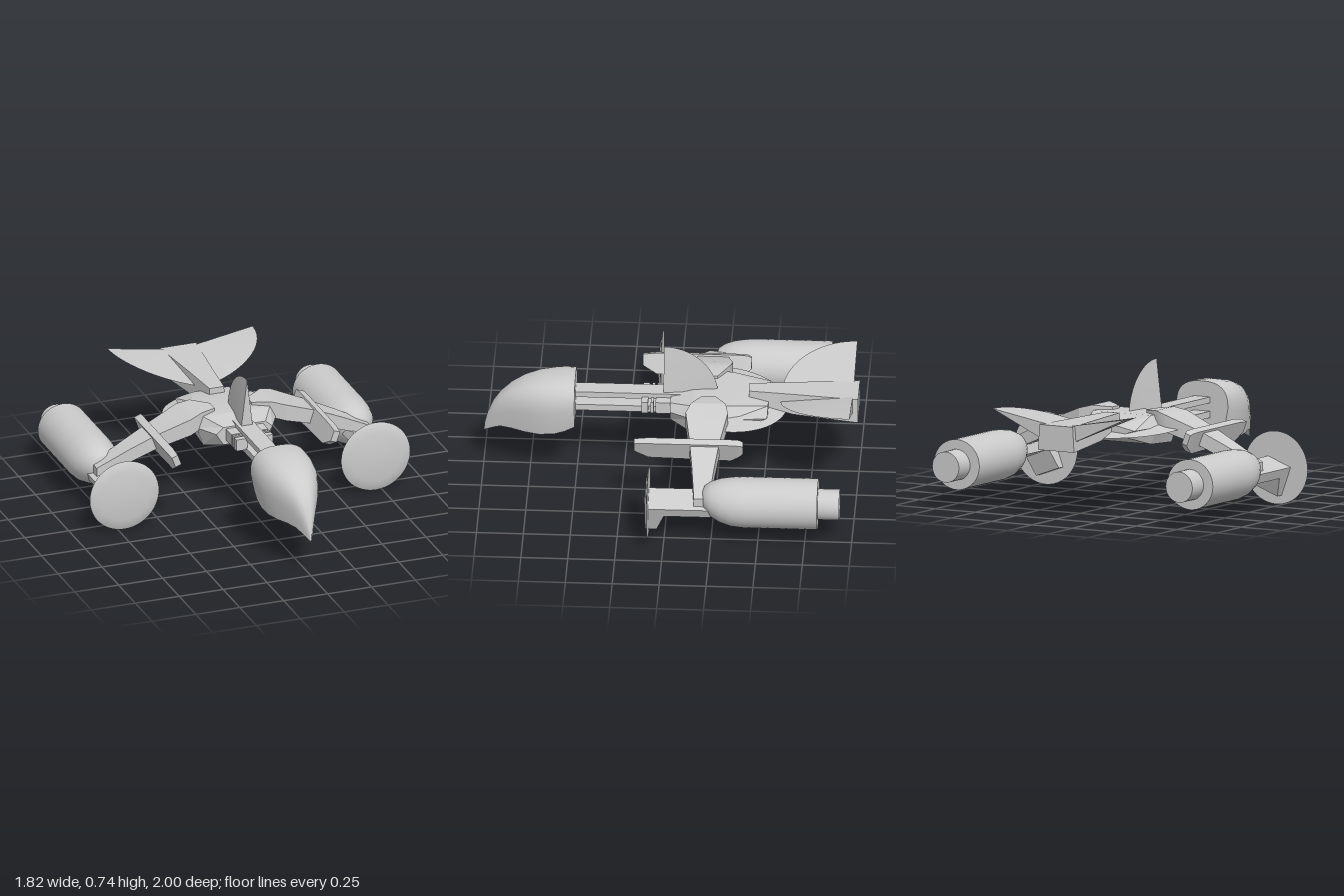
import * as THREE from 'three';
import { toCreasedNormals } from 'three/addons/utils/BufferGeometryUtils.js';

const material = new THREE.MeshStandardMaterial({ color: 0xcccccc });

// Turns a closed surface outward and keeps its hard edges
function finish(geometry, crease = 0.5) {
  const g = geometry.index ? geometry.toNonIndexed() : geometry;
  const p = g.attributes.position;
  const v = [0, 1, 2].map(() => new THREE.Vector3());
  let volume = 0;
  for (let i = 0; i < p.count; i += 3) {
    v.forEach((u, k) => u.fromBufferAttribute(p, i + k));
    volume += v[0].dot(v[1].clone().cross(v[2]));
  }
  if (volume < 0) {
    for (let i = 0; i < p.count; i += 3) {
      v.forEach((u, k) => u.fromBufferAttribute(p, i + k));
      p.setXYZ(i + 1, v[2].x, v[2].y, v[2].z);
      p.setXYZ(i + 2, v[1].x, v[1].y, v[1].z);
    }
  }
  return toCreasedNormals(g, crease);
}

// Skins a list of cross-sections and caps both ends
function loft(rings, crease) {
  const out = [];
  const a = new THREE.Vector3(), b = new THREE.Vector3(), c = new THREE.Vector3();
  const tri = (p, q, r) => {
    a.fromArray(p); b.fromArray(q); c.fromArray(r);
    if (b.clone().sub(a).cross(c.clone().sub(a)).length() > 1e-9) out.push(...p, ...q, ...r);
  };
  const n = rings[0].length, last = rings[rings.length - 1];
  for (let i = 0; i < rings.length - 1; i++) {
    for (let j = 0; j < n; j++) {
      const k = (j + 1) % n, r = rings[i], s = rings[i + 1];
      tri(r[j], r[k], s[k]);
      tri(r[j], s[k], s[j]);
    }
  }
  for (let j = 1; j < n - 1; j++) {
    tri(rings[0][0], rings[0][j + 1], rings[0][j]);
    tri(last[0], last[j], last[j + 1]);
  }
  const g = new THREE.BufferGeometry();
  g.setAttribute('position', new THREE.Float32BufferAttribute(out, 3));
  return finish(g, crease);
}

// Sector of a disc in the xz plane, thick at its centre and sharp at its rim
function bladeSector(radius, thick, from, to, steps = 20) {
  const rings = [];
  for (let i = 0; i <= steps; i++) {
    const t = from + (to - from) * i / steps;
    rings.push([[0, thick, 0], [radius * Math.cos(t), 0, radius * Math.sin(t)], [0, -thick, 0]]);
  }
  return loft(rings);
}

function box(x0, x1, y0, y1, z0, z1) {
  return new THREE.BoxGeometry(x1 - x0, y1 - y0, z1 - z0)
    .translate((x0 + x1) / 2, (y0 + y1) / 2, (z0 + z1) / 2);
}

export function createModel() {
  const model = new THREE.Group();
  const add = (name, geometry) => {
    const mesh = new THREE.Mesh(geometry, material);
    mesh.name = name;
    model.add(mesh);
  };
  const addPair = (name, geometry) => {
    add(name + 'Left', geometry);
    add(name + 'Right', finish(geometry.clone().scale(-1, 1, 1)));
  };

  // Drooping nose: domed top over a flat belly [z, half width, bottom, top]
  const nose = [
    [0.51, 0.160, 0.31, 0.56], [0.56, 0.164, 0.285, 0.562], [0.62, 0.163, 0.265, 0.56],
    [0.7, 0.153, 0.256, 0.548], [0.78, 0.125, 0.256, 0.524], [0.85, 0.093, 0.26, 0.486],
    [0.91, 0.061, 0.255, 0.435], [0.95, 0.038, 0.235, 0.38], [0.98, 0.018, 0.215, 0.31],
    [0.995, 0.006, 0.204, 0.25], [1, 0, 0.2, 0.2],
  ].map(([z, w, yb, yt]) => {
    const ym = yb + (yt - yb) * 0.45, ring = [[-0.86 * w, yb, z], [0.86 * w, yb, z]];
    for (let i = 0; i <= 16; i++) {
      const t = Math.PI * i / 16, cx = Math.cos(t);
      ring.push([w * Math.sign(cx) * Math.abs(cx) ** 0.75, ym + (yt - ym) * Math.sin(t) ** 0.75, z]);
    }
    return ring;
  });
  add('nose', loft(nose, 0.7));

  // Twin booms and their collars
  add('upperBoom', box(-0.05, 0.05, 0.445, 0.477, -0.1, 0.52));
  add('lowerBoom', box(-0.05, 0.05, 0.365, 0.4, -0.1, 0.52));
  for (const [z0, z1] of [[-0.07, 0.08], [0.09, 0.105], [0.12, 0.155]]) {
    addPair('collar', box(0.04, 0.105, 0.39, 0.455, z0, z1));
  }

  // Faceted hull [z, belly half width, side half width, bottom, side height, top]
  const hull = [
    [0.0, 0.12, 0.16, 0.365, 0.43, 0.465], [-0.12, 0.19, 0.225, 0.325, 0.43, 0.49],
    [-0.32, 0.18, 0.225, 0.335, 0.43, 0.49], [-0.52, 0.1, 0.2, 0.4, 0.43, 0.45],
  ].map(([z, wb, ws, yb, ys, yt]) => [
    [-wb, yb, z], [wb, yb, z], [ws, ys, z], [wb, yt, z], [-wb, yt, z], [-ws, ys, z]]);
  add('hull', loft(hull, 0.2));

  // Rounded rear deck
  add('rearDeck', bladeSector(0.34, 0.05, Math.PI, 2 * Math.PI, 32)
    .rotateX(-0.09).translate(0, 0.425, -0.28));

  // Upright fin
  add('uprightFin', bladeSector(0.29, 0.035, Math.PI, 1.5 * Math.PI)
    .rotateZ(-Math.PI / 2).translate(0, 0.45, 0.04));

  // Wedge tail and its two raised fins
  const tail = [[-0.415, 0.045, 0.44, 0.505], [-0.65, 0.07, 0.385, 0.505], [-1, 0.112, 0.368, 0.505]]
    .map(([z, w, yb, yt]) => [[-w, yb, z], [w, yb, z], [w * 0.92, yt, z], [-w * 0.92, yt, z]]);
  add('tail', loft(tail, 0.2));
  addPair('tailFin', bladeSector(0.385, 0.05, 0, Math.PI / 2)
    .rotateZ(0.3).translate(0.045, 0.45, -0.97));

  // Drooping arms [x, bottom, top, front z, back z]
  const arm = [
    [0.105, 0.46, 0.505, -0.17, -0.24], [0.2, 0.425, 0.515, -0.115, -0.3],
    [0.27, 0.405, 0.497, -0.09, -0.315], [0.45, 0.345, 0.425, -0.12, -0.28],
    [0.6, 0.28, 0.355, -0.14, -0.26], [0.78, 0.21, 0.265, -0.16, -0.24],
  ].map(([x, yb, yt, zf, zb]) => [[x, yb, zf], [x, yt, zf], [x, yt, zb], [x, yb, zb]]);
  addPair('arm', loft(arm, 0.2));

  // Long blades across the arms [z, half width, bottom, top]
  const blade = [
    [0.175, 0.018, -0.005, 0.055], [0.1, 0.021, -0.05, 0.063], [-0.34, 0.021, -0.063, 0.063],
    [-0.385, 0.021, -0.03, 0.06], [-0.405, 0.016, -0.01, 0.05],
  ].map(([z, w, yb, yt]) => [[-w, yb, z], [w, yb, z], [w, yt, z], [-w, yt, z]]);
  addPair('crossBlade', loft(blade, 0.2).rotateZ(-0.35).translate(0.443, 0.372, 0));

  // Engines: bullet body with a slightly raised tip, and a nozzle
  const profile = [[0, -0.82], [0.141, -0.82], [0.141, -0.42], [0.136, -0.36], [0.122, -0.3],
    [0.098, -0.25], [0.068, -0.215], [0.035, -0.2], [0, -0.196]]
    .map(([r, z]) => new THREE.Vector2(r, z));
  const engine = new THREE.LatheGeometry(profile, 40).rotateX(Math.PI / 2);
  const ep = engine.attributes.position;
  for (let i = 0; i < ep.count; i++) {
    const rise = Math.max(0, (ep.getZ(i) + 0.42) / 0.22);
    ep.setXYZ(i, ep.getX(i) + 0.725, ep.getY(i) * 0.96 + 0.22 + 0.025 * rise * rise, ep.getZ(i));
  }
  addPair('engine', finish(engine, 0.7));
  addPair('nozzle', finish(new THREE.CylinderGeometry(0.083, 0.083, 0.13, 32)
    .rotateX(Math.PI / 2).translate(0.725, 0.22, -0.87), 0.7));

  // Struts that widen downward behind the front discs
  const side = new THREE.Shape([[-0.25, -0.025], [0, -0.025], [0.04, -0.135], [0.092, -0.135],
    [0.092, 0.03], [-0.25, 0.03]].map(([z, y]) => new THREE.Vector2(-z, y)));
  const strut = new THREE.ExtrudeGeometry(side, { depth: 0.15, bevelEnabled: false })
    .translate(0, 0, -0.075).rotateY(Math.PI / 2);
  addPair('strut', finish(strut.rotateZ(-0.35).translate(0.725, 0.205, 0), 0.2));

  // Shallow domed front discs
  const disc = [[0, 0.084], [0.197, 0.084], [0.19, 0.089], [0.14, 0.098], [0.07, 0.105], [0, 0.108]]
    .map(([r, z]) => new THREE.Vector2(r, z));
  addPair('frontDisc', finish(new THREE.LatheGeometry(disc, 48)
    .rotateX(Math.PI / 2).translate(0.715, 0.2, 0), 0.6));

  return model;
}
